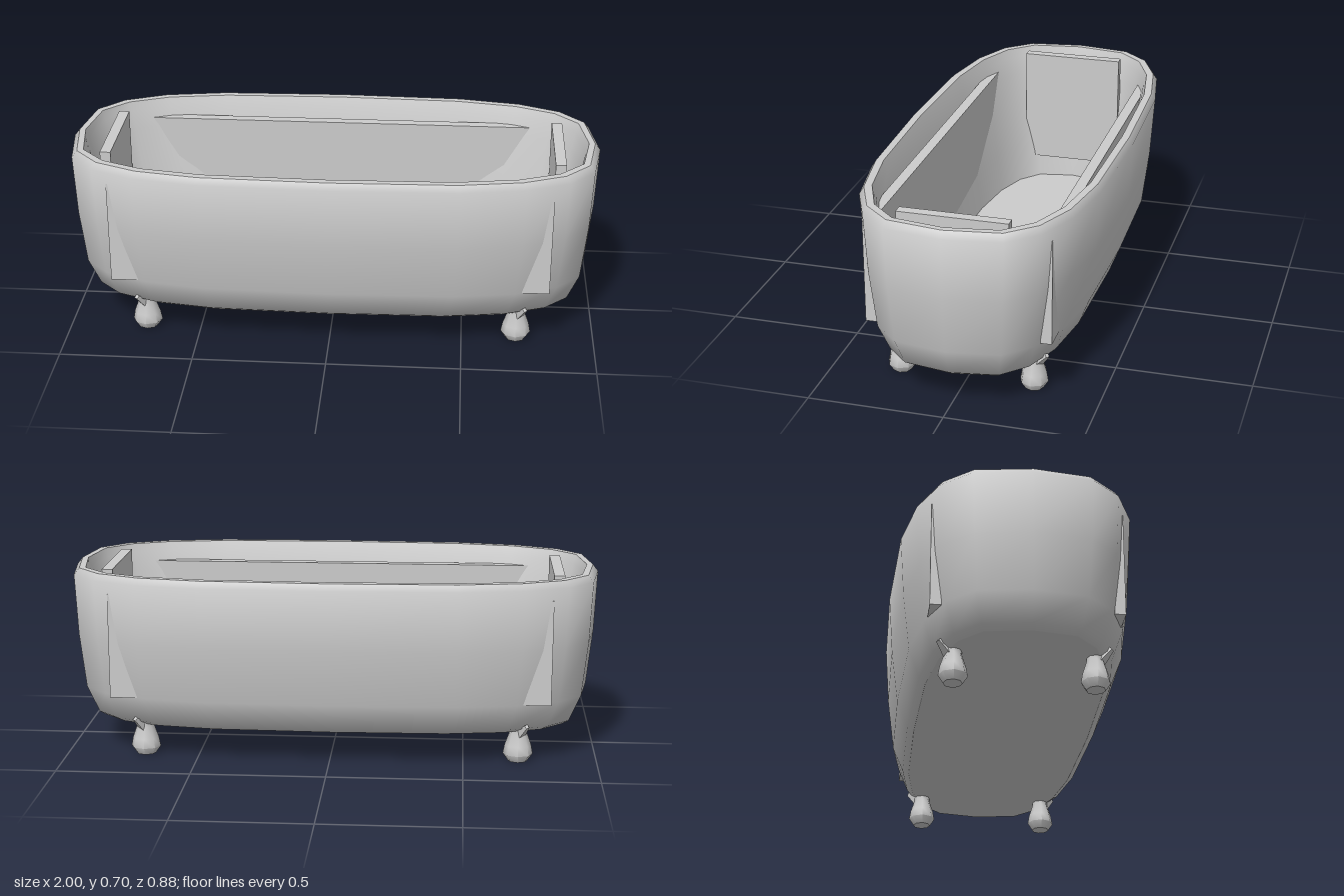
import * as THREE from 'three';
import { toCreasedNormals } from 'three/addons/utils/BufferGeometryUtils.js';

const SIDES = 20;

// Smooth band through rings [height, half length, half width] on a superellipse plan
function loft(rings) {
  const pos = [];
  const bend = (v) => Math.sign(v) * Math.pow(Math.abs(v), 0.625);
  const point = ([y, a, b], j) => {
    const t = ((j % SIDES) / SIDES) * Math.PI * 2;
    return [a * bend(Math.cos(t)), y, b * bend(Math.sin(t))];
  };
  for (let i = 0; i < rings.length - 1; i++) {
    for (let j = 0; j < SIDES; j++) {
      const a = point(rings[i], j), c = point(rings[i], j + 1);
      const b = point(rings[i + 1], j), d = point(rings[i + 1], j + 1);
      if (rings[i][1] > 0) pos.push(...a, ...b, ...c);
      if (rings[i + 1][1] > 0) pos.push(...b, ...d, ...c);
    }
  }
  const g = new THREE.BufferGeometry();
  g.setAttribute('position', new THREE.Float32BufferAttribute(pos, 3));
  return toCreasedNormals(g, 1.4);
}

export function createModel() {
  const model = new THREE.Group();
  model.name = 'bathtub';
  const enamel = new THREE.MeshStandardMaterial({ color: 0xcccccc });
  enamel.name = 'greyEnamel';

  const add = (name, geometry, parent = model) => {
    const mesh = new THREE.Mesh(geometry, enamel);
    mesh.name = name;
    parent.add(mesh);
    return mesh;
  };

  // Tub: separate bands keep the edges between them sharp
  const base = [0.12, 0.9, 0.333];
  const lipOuter = [0.705, 0.98, 0.425];
  const lipInner = [0.705, 0.957, 0.397];
  const floorEdge = [0.15, 0.855, 0.287];
  add('underside', loft([[0.12, 0, 0], base]));
  add('outerWall', loft([
    base, [0.137, 0.925, 0.358], [0.24, 0.968, 0.399],
    [0.45, 0.99, 0.425], [0.68, 1, 0.44], lipOuter,
  ]));
  add('rim', loft([lipOuter, lipInner]));
  add('innerWall', loft([
    lipInner, [0.67, 0.947, 0.385], [0.6, 0.932, 0.368],
    [0.425, 0.9, 0.333], [0.295, 0.875, 0.31], floorEdge,
  ]));
  add('tubFloor', loft([floorEdge, [0.15, 0, 0]]));

  // Upright panels inside; the corners of the long ones break through the wall
  for (const s of [-1, 1]) {
    add('sidePanel', new THREE.BoxGeometry(1.64, 0.395, 0.04)).position.set(0, 0.4375, s * 0.32);
    add('endPanel', new THREE.BoxGeometry(0.04, 0.46, 0.4)).position.set(s * 0.845, 0.47, 0);
  }

  // Feet: rounded bulb with a bracket leaning outwards into the tub
  const profile = [[0, 0], [0.034, 0], [0.052, 0.028], [0.046, 0.062], [0.031, 0.108], [0.031, 0.125], [0, 0.125]]
    .map(([r, y]) => new THREE.Vector2(r, y));
  const bulb = toCreasedNormals(new THREE.LatheGeometry(profile, 8), 0.9);
  const bracket = new THREE.CylinderGeometry(0.01, 0.024, 0.066, 4).toNonIndexed();
  bracket.computeVertexNormals();
  const up = new THREE.Vector3(0, 1, 0);
  for (const sx of [-1, 1]) {
    for (const sz of [-1, 1]) {
      const foot = new THREE.Group();
      foot.name = 'foot';
      foot.position.set(sx * 0.705, 0, sz * 0.248);
      add('footBulb', bulb, foot).scale.x = 1.08;
      const arm = add('footBracket', bracket, foot);
      arm.position.set(sx * 0.017, 0.126, sz * 0.032);
      arm.quaternion.setFromUnitVectors(up, new THREE.Vector3(sx * 0.03, 0.05, sz * 0.05).normalize());
      model.add(foot);
    }
  }
  return model;
}
